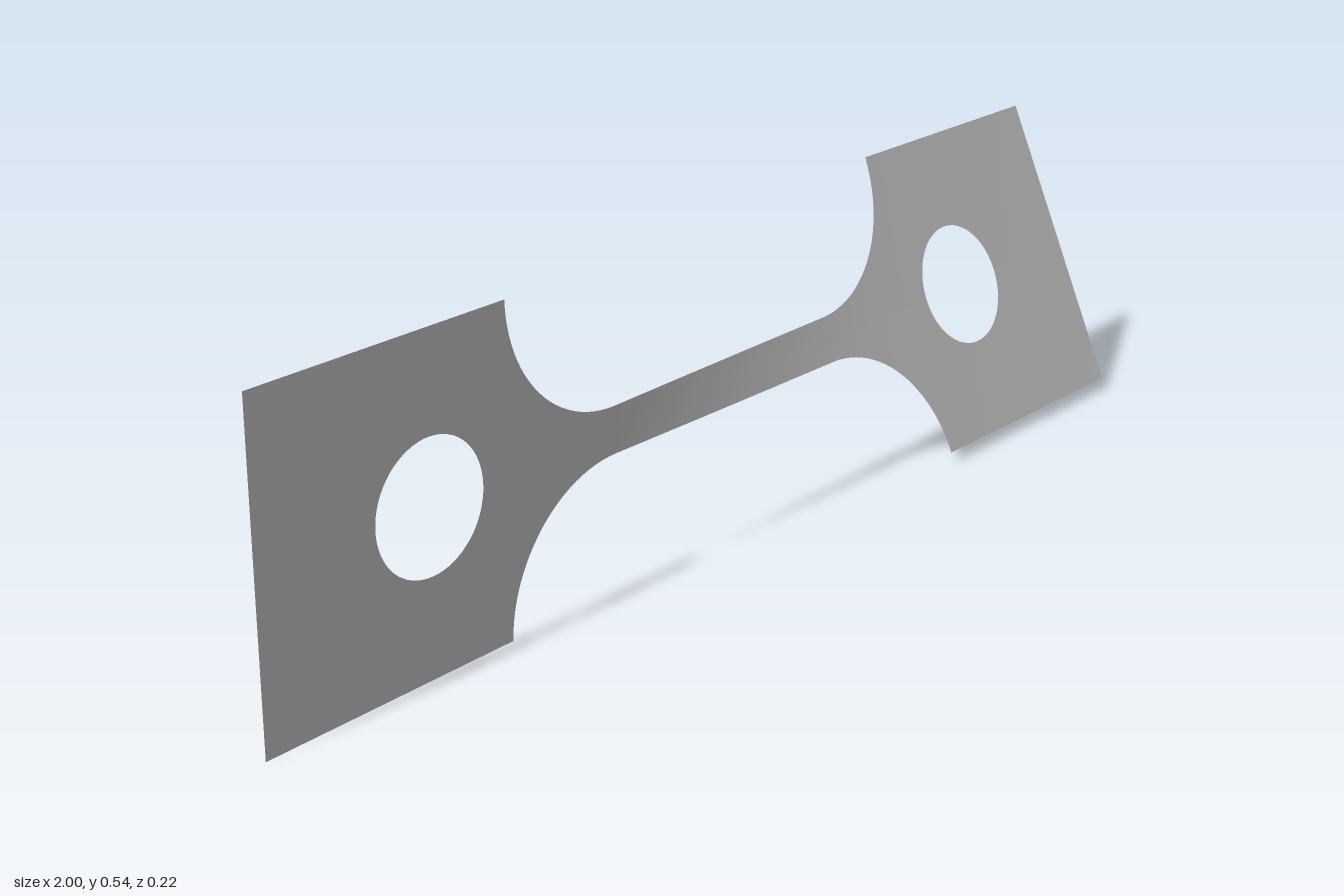
import * as THREE from 'three';

const HALF = 0.2715;                               // half height of the grips, and height of the twist axis
const NECK = 0.039;                                // half height of the neck
const FILLET = { x: 0.272, r: 0.236 };
const HOLE = { x: 0.67, r: 0.108 };
const EDGE = FILLET.x + FILLET.r;                  // where a grip meets its fillet

// Twist about the x axis, in degrees, strongest along the neck
const TWIST = [[-1, -0.3], [-0.5, -0.3], [-0.36, 0.1], [-0.272, 1.2], [0.272, 17.4],
  [0.34, 19.2], [0.41, 20.5], [EDGE, 21.6], [1, 23.7]];
function twistAt(x) {
  const i = Math.max(1, TWIST.findIndex(([kx]) => x <= kx + 1e-6));
  const [x0, a0] = TWIST[i - 1], [x1, a1] = TWIST[i];
  return THREE.MathUtils.degToRad(a0 + (a1 - a0) * (x - x0) / (x1 - x0));
}

// Cross-sections of one end: [x, inner half height, outer half height]
function gripSections() {
  const s = [[1, 0, HALF], [0.89, 0, HALF]];
  for (let i = 0; i <= 32; i++) {
    const t = Math.PI * i / 32;
    s.push([HOLE.x + HOLE.r * Math.cos(t), HOLE.r * Math.sin(t), HALF]);
  }
  s.push([EDGE, 0, HALF]);
  return s;
}
function neckSections() {
  const s = [];
  for (let i = 0; i <= 24; i++) {
    const t = Math.PI / 2 * (1 - i / 24);
    const y = NECK + FILLET.r * (1 - Math.cos(t));
    s.push([FILLET.x + FILLET.r * Math.sin(t), 0, Math.min(y, HALF)]);
  }
  const mirrored = s.map(([x, a, b]) => [-x, a, b]);
  for (let i = 1; i < 24; i++) s.push([FILLET.x * (1 - i / 12), 0, NECK]);
  return s.concat(mirrored.reverse());
}

// Twisted sheet made of an upper and a lower band
function sheet(name, sections, material) {
  const pos = [], index = [];
  sections.sort((p, q) => p[0] - q[0]);
  sections.forEach(([x, inner, outer], i) => {
    const a = twistAt(x);
    for (const v of [-outer, -inner, inner, outer]) {
      pos.push(x, HALF + v * Math.cos(a), -v * Math.sin(a));
    }
    if (i === 0) return;
    for (const row of [0, 2]) {
      const p = (i - 1) * 4 + row, q = i * 4 + row;
      index.push(p, q, q + 1, p, q + 1, p + 1);
    }
  });
  const geometry = new THREE.BufferGeometry();
  geometry.setAttribute('position', new THREE.Float32BufferAttribute(pos, 3));
  geometry.setIndex(index);
  geometry.computeVertexNormals();
  const mesh = new THREE.Mesh(geometry, material);
  mesh.name = name;
  return mesh;
}

export function createModel() {
  const metal = new THREE.MeshStandardMaterial({ color: 0xc0c0c0, side: THREE.DoubleSide });
  metal.name = 'light grey metal';
  const group = new THREE.Group();
  group.name = 'twistedTestStrip';
  group.add(
    sheet('rightGrip', gripSections().map(([x, a, b]) => [-x, a, b]), metal),
    sheet('neck', neckSections(), metal),
    sheet('leftGrip', gripSections(), metal),
  );
  return group;
}
